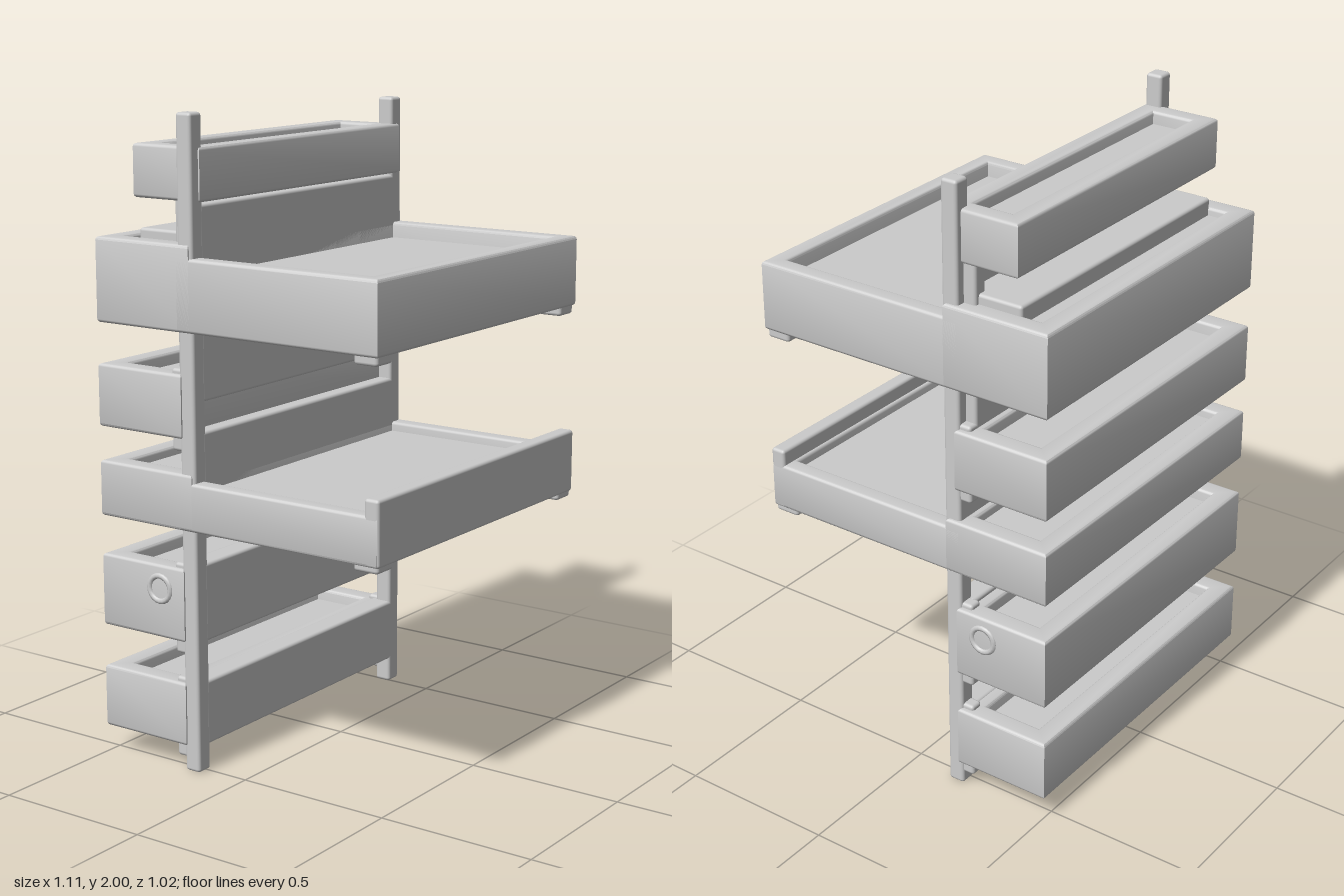
import * as THREE from 'three';
import { RoundedBoxGeometry } from 'three/addons/geometries/RoundedBoxGeometry.js';
import { toCreasedNormals } from 'three/addons/utils/BufferGeometryUtils.js';

const material = new THREE.MeshStandardMaterial({ color: 0xcccccc });

function add(parent, name, geometry) {
  const mesh = new THREE.Mesh(geometry, material);
  mesh.name = name;
  parent.add(mesh);
  return mesh;
}

// Rounded block given by its ranges on each axis
function block(parent, name, [x0, x1], [y0, y1], [z0, z1], radius = 0.01) {
  const mesh = add(parent, name, new RoundedBoxGeometry(x1 - x0, y1 - y0, z1 - z0, 2, radius));
  mesh.position.set((x0 + x1) / 2, (y0 + y1) / 2, (z0 + z1) / 2);
  return mesh;
}

function rectangle(path, x0, x1, z0, z1) {
  path.moveTo(x0, -z1);
  path.lineTo(x1, -z1);
  path.lineTo(x1, -z0);
  path.lineTo(x0, -z0);
  path.closePath();
  return path;
}

// Bevelled wall ring around a floor slab that is recessed above and below
function tray(parent, name, [x0, x1], [y0, y1], [z0, z1], wall, recess, under) {
  const group = new THREE.Group();
  group.name = name;
  parent.add(group);
  const b = 0.01;
  const w = wall + b;
  const shape = rectangle(new THREE.Shape(), x0 + b, x1 - b, z0 + b, z1 - b);
  shape.holes.push(rectangle(new THREE.Path(), x0 + w, x1 - w, z0 + w, z1 - w));
  const walls = new THREE.ExtrudeGeometry(shape, {
    depth: y1 - y0 - 2 * b, bevelSize: b, bevelThickness: b, bevelSegments: 3,
  });
  walls.rotateX(-Math.PI / 2);
  walls.translate(0, y0 + b, 0);
  add(group, name + 'Walls', toCreasedNormals(walls, 0.7));
  const i = wall * 0.6;
  const floor = add(group, name + 'Floor',
    new THREE.BoxGeometry(x1 - x0 - 2 * i, y1 - y0 - recess - under, z1 - z0 - 2 * i));
  floor.position.set((x0 + x1) / 2, (y0 + under + y1 - recess) / 2, (z0 + z1) / 2);
  return group;
}

export function createModel() {
  const model = new THREE.Group();
  model.name = 'shelfRack';
  const wide = [-0.545, 0.555];

  // Upright posts
  for (const [name, x, top] of [['rightPost', -0.512, 2], ['leftPost', 0.517, 1.985]]) {
    block(model, name, [x - 0.028, x + 0.028], [0, top], [-0.2, -0.145]);
  }

  // Panels spanning the posts
  const panels = [
    [0.08, 0.285, -0.22], [0.41, 0.655, -0.22], [0.78, 1.06, -0.2],
    [1.15, 1.36, -0.235], [1.45, 1.735, -0.2],
  ];
  panels.forEach(([y0, y1, z0], i) =>
    block(model, `frontPanel${i + 1}`, [-0.5, 0.51], [y0, y1], [z0, -0.145]));

  // Rear bins behind the posts
  const bins = [[0.08, 0.28], [0.41, 0.64], [1.04, 1.235]];
  bins.forEach(([y0, y1], i) => {
    tray(model, `rearBin${i + 1}`, wide, [y0, y1], [-0.51, -0.19], 0.045, 0.04, 0.025);
    // Side brackets joining each bin to the posts
    for (const x of [-0.512, 0.517]) {
      block(model, 'binBracket', [x - 0.022, x + 0.022], [y0 - 0.04, y1 + 0.015], [-0.235, -0.18]);
    }
  });
  tray(model, 'topBin', [-0.505, 0.525], [1.74, 1.9], [-0.39, -0.14], 0.04, 0.04, 0.015);
  for (const x of [-0.475, 0.49]) {
    block(model, 'topBinBracket', [x - 0.025, x + 0.025], [1.6, 1.76], [-0.24, -0.18]);
  }

  // Upper tray with its taller rear section
  tray(model, 'upperTray', wide, [1.36, 1.58], [-0.2, 0.51], 0.035, 0.05, 0.02);
  tray(model, 'upperTrayRear', wide, [1.36, 1.62], [-0.51, -0.155], 0.045, 0.025, 0.02);
  block(model, 'upperTrayLedge', [-0.49, 0.5], [1.58, 1.65], [-0.385, -0.19]);

  // Lower tray with a raised front lip
  tray(model, 'lowerTray', wide, [0.76, 0.91], [-0.2, 0.51], 0.035, 0.03, 0.02);
  tray(model, 'lowerTrayRear', wide, [0.76, 0.935], [-0.51, -0.155], 0.045, 0.03, 0.02);
  block(model, 'lowerTrayLip', wide, [0.76, 0.96], [0.465, 0.515]);

  // Feet under the front corners of both trays, side grips on the second bin
  for (const side of [-1, 1]) {
    const x = 0.005 + side * 0.505;
    block(model, 'upperTrayFoot', [x - 0.04, x + 0.04], [1.335, 1.38], [0.425, 0.505]);
    block(model, 'lowerTrayFoot', [x - 0.04, x + 0.04], [0.742, 0.79], [0.425, 0.51]);
    const grip = add(model, 'sideGrip', new THREE.TorusGeometry(0.04, 0.01, 8, 20));
    grip.rotation.y = Math.PI / 2;
    grip.position.set(0.005 + side * 0.547, 0.565, -0.285);
  }
  return model;
}
